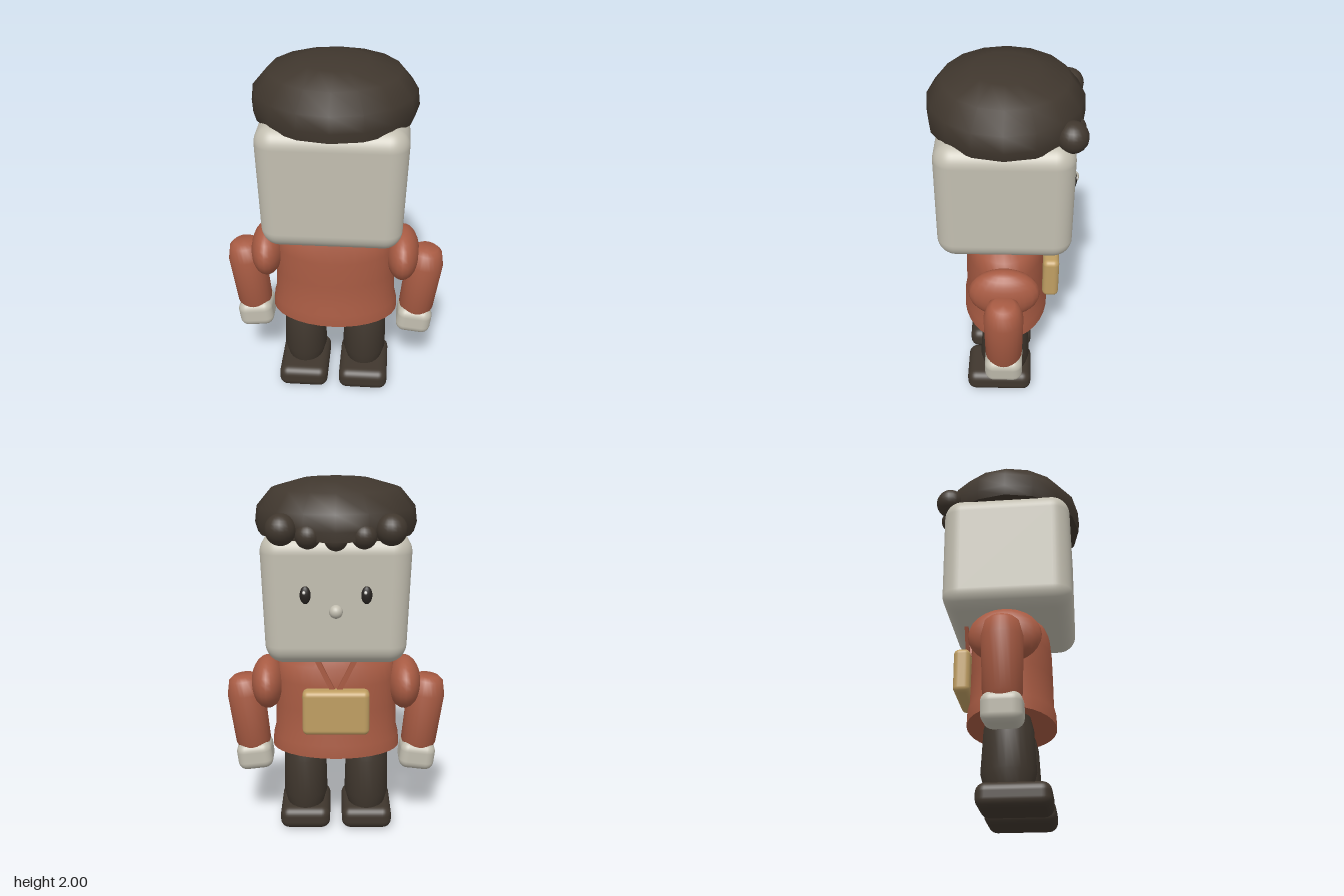
import * as THREE from 'three';
import { toCreasedNormals } from 'three/addons/utils/BufferGeometryUtils.js';
import { RoundedBoxGeometry } from 'three/addons/geometries/RoundedBoxGeometry.js';

const paint = (name, color) => {
  const m = new THREE.MeshStandardMaterial({ color });
  m.name = name;
  return m;
};

// Elliptical loft, rings listed bottom to top as [y, radiusX, radiusZ]
function loft(rings, segments = 24) {
  const r = [[rings[0][0], 0, 0], ...rings];
  const top = rings[rings.length - 1];
  if (top[1] > 0) r.push([top[0], 0, 0]);
  const g = new THREE.LatheGeometry(r.map(([y, rx]) => new THREE.Vector2(rx, y)), segments);
  const p = g.attributes.position;
  for (let i = 0; i < p.count; i++) {
    const [, rx, rz] = r[i % r.length];
    if (rx > 0) p.setZ(i, p.getZ(i) * rz / rx);
  }
  return toCreasedNormals(g, 1.12);
}

export function createModel() {
  const root = new THREE.Group();
  root.name = 'figure';
  const skin = paint('pale grey', 0xc2beb0);
  const shirt = paint('rust red', 0xa85b43);
  const dark = paint('dark brown', 0x40372e);
  const tan = paint('tan', 0xbf9e62);
  const black = paint('eye black', 0x26221f);
  const white = paint('eye glint', 0xe8e6e0);

  function add(parent, name, geometry, material, x = 0, y = 0, z = 0) {
    const m = new THREE.Mesh(geometry, material);
    m.name = name;
    m.position.set(x, y, z);
    parent.add(m);
    return m;
  }
  const ball = (name, mat, x, y, z, rx, ry = rx, rz = rx) =>
    add(root, name, new THREE.SphereGeometry(1, 20, 14), mat, x, y, z).scale.set(rx, ry, rz);

  // Head, narrowing slightly towards the chin
  const headGeo = new RoundedBoxGeometry(0.78, 0.68, 0.7, 6, 0.1);
  const hp = headGeo.attributes.position;
  for (let i = 0; i < hp.count; i++) {
    hp.setX(i, hp.getX(i) * (0.97 + 0.09 * hp.getY(i)));
  }
  add(root, 'head', headGeo, skin, 0, 1.4, 0);

  // Hair cap and the row of curls over the face
  add(root, 'hairCap', loft([
    [1.71, 0.415, 0.395], [1.76, 0.43, 0.4], [1.845, 0.42, 0.395],
    [1.94, 0.34, 0.32], [1.985, 0.18, 0.17], [2, 0, 0],
  ], 16), dark);
  ball('middleCurl', dark, 0, 1.72, -0.335, 0.06);
  for (const s of [-1, 1]) {
    ball('innerCurl', dark, s * 0.14, 1.735, -0.335, 0.065);
    ball('outerCurl', dark, s * 0.275, 1.765, -0.325, 0.08);
  }

  // Face
  ball('nose', skin, 0, 1.355, -0.355, 0.035);
  for (const s of [-1, 1]) {
    ball('eye', black, s * 0.155, 1.44, -0.35, 0.028, 0.046, 0.018);
    ball('eyeGlint', white, s * 0.155 + 0.006, 1.455, -0.365, 0.008, 0.009, 0.006);
  }

  // Shirt
  add(root, 'shirt', loft([
    [0.49, 0.36, 0.24], [0.56, 0.355, 0.238], [0.61, 0.342, 0.226], [0.75, 0.338, 0.224],
    [0.9, 0.33, 0.22], [1, 0.315, 0.21], [1.07, 0.19, 0.185],
  ], 32), shirt);

  // Pouch with two straps in a V
  add(root, 'pouch', new RoundedBoxGeometry(0.36, 0.25, 0.09, 4, 0.03), tan, 0, 0.775, -0.255);
  for (const s of [-1, 1]) {
    const strap = add(root, 'strap', new THREE.BoxGeometry(0.026, 0.21, 0.02), shirt, s * 0.055, 0.97, -0.243);
    strap.rotation.z = -s * 0.45;
  }

  // Limbs
  const armGeo = loft([
    [-0.22, 0.085, 0.085], [-0.18, 0.1, 0.1], [0.11, 0.106, 0.106],
    [0.19, 0.085, 0.085], [0.21, 0.06, 0.06],
  ]);
  const handGeo = new RoundedBoxGeometry(0.2, 0.16, 0.205, 4, 0.05);
  const legGeo = loft([
    [0.11, 0.1, 0.12], [0.2, 0.126, 0.143], [0.42, 0.12, 0.13], [0.5, 0.108, 0.11],
  ]);
  const shoeGeo = new RoundedBoxGeometry(0.286, 0.13, 0.376, 4, 0.05);
  for (const s of [-1, 1]) {
    const side = s > 0 ? 'left' : 'right';
    ball(side + 'Shoulder', shirt, s * 0.382, 0.863, 0, 0.094, 0.147, 0.19);
    const arm = new THREE.Group();
    arm.name = side + 'Arm';
    arm.position.set(s * 0.496, 0.69, 0);
    arm.rotation.z = -s * 0.12;
    root.add(arm);
    add(arm, side + 'Sleeve', armGeo, shirt);
    add(arm, side + 'Hand', handGeo, skin, 0, -0.262, 0);
    add(root, side + 'Leg', legGeo, dark, s * 0.176, 0, 0);
    add(root, side + 'Shoe', shoeGeo, dark, s * 0.177, 0.065, 0.033);
  }
  return root;
}
